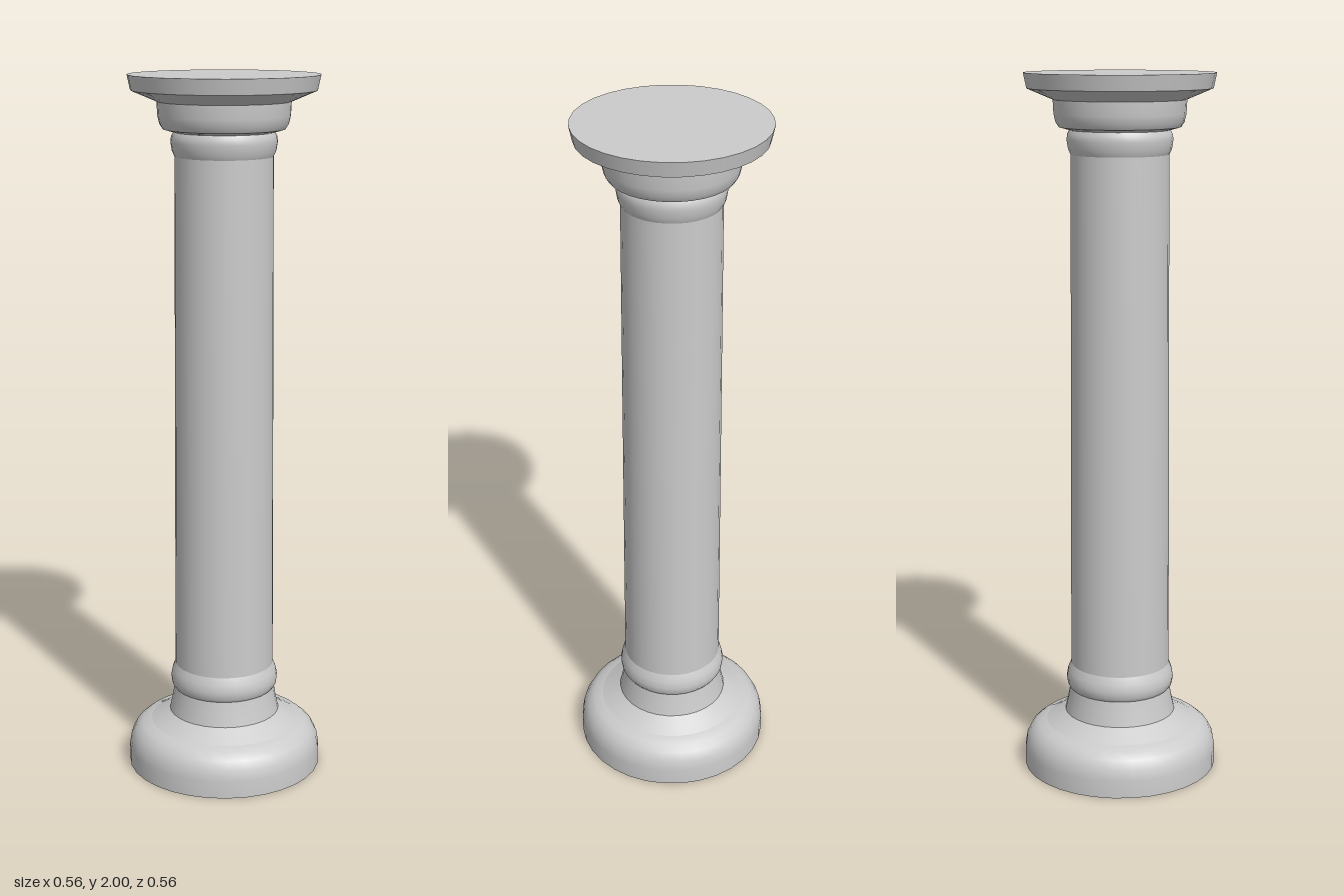
import * as THREE from 'three';

const SEGMENTS = 32;

export function createModel() {
  const column = new THREE.Group();
  column.name = 'column';
  const material = new THREE.MeshStandardMaterial({ color: 0xcccccc, side: THREE.DoubleSide });

  // Turns one smooth [radius, height] profile; separate parts keep their shared edge sharp
  const turn = (name, profile) => {
    const points = profile.map(([r, y]) => new THREE.Vector2(r, y));
    const mesh = new THREE.Mesh(new THREE.LatheGeometry(points, SEGMENTS), material);
    mesh.name = name;
    column.add(mesh);
  };

  // Hollow base, open underneath
  turn('baseDrum', [[0.28, 0], [0.28, 0.05], [0.275, 0.08], [0.262, 0.105], [0.242, 0.122], [0.215, 0.131]]);
  turn('baseSlope', [[0.215, 0.131], [0.19, 0.145], [0.16, 0.163]]);
  turn('baseNeck', [[0.16, 0.163], [0.152, 0.2], [0.146, 0.235]]);
  turn('lowerRing', [[0.146, 0.235], [0.153, 0.245], [0.156, 0.265], [0.152, 0.287], [0.143, 0.308]]);

  // Gently tapering shaft
  turn('shaft', [[0.143, 0.308], [0.142, 0.56], [0.14, 0.97], [0.138, 1.38], [0.136, 1.78]]);

  // Capital
  turn('upperRing', [[0.136, 1.78], [0.143, 1.795], [0.147, 1.82], [0.145, 1.835], [0.139, 1.846]]);
  turn('cupUnderside', [[0.139, 1.846], [0.168, 1.854]]);
  turn('cup', [[0.168, 1.854], [0.177, 1.868], [0.182, 1.89], [0.184, 1.928]]);
  turn('slabUnderside', [[0.184, 1.928], [0.255, 1.958]]);
  turn('slabRim', [[0.255, 1.958], [0.264, 2]]);
  turn('slabTop', [[0.264, 2], [0, 2]]);

  return column;
}
